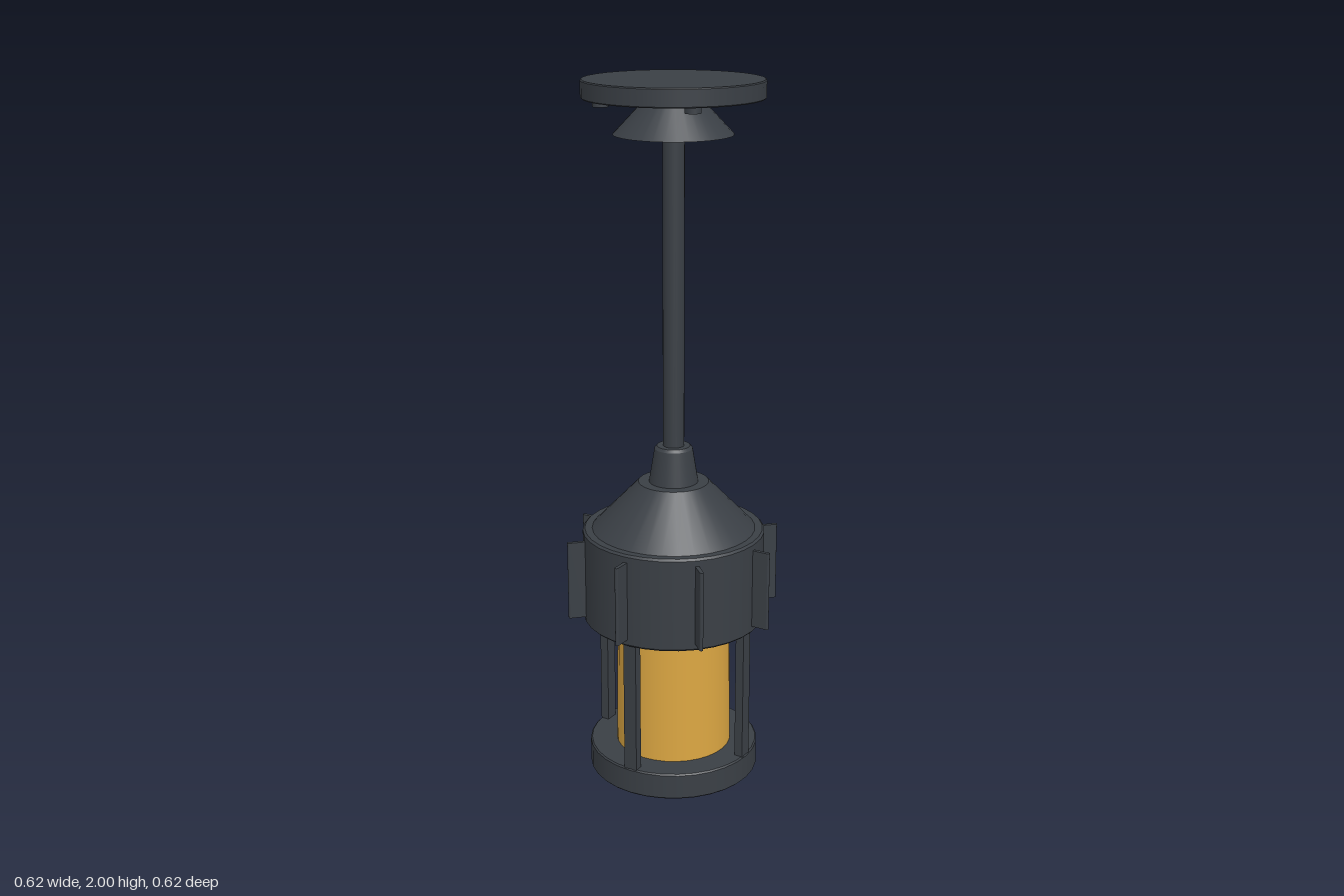
import * as THREE from 'three';

export function createModel() {
  const model = new THREE.Group();
  model.name = 'pendantLantern';

  const metal = new THREE.MeshStandardMaterial({ color: 0x3a3f45 });
  metal.name = 'charcoal metal';
  const amber = new THREE.MeshStandardMaterial({ color: 0xdba642 });
  amber.name = 'amber glass';

  const add = (name, geometry, material = metal, parent = model) => {
    const mesh = new THREE.Mesh(geometry, material);
    mesh.name = name;
    parent.add(mesh);
    return mesh;
  };

  // Round part between two heights, with bottom and top radii
  const round = (name, y0, y1, r0, r1, sides = 32, material = metal) => {
    const mesh = add(name, new THREE.CylinderGeometry(r1, r0, y1 - y0, sides), material);
    mesh.position.y = (y0 + y1) / 2;
    return mesh;
  };

  // Straight disc with small chamfers; each facet band keeps its own normals
  const disc = (name, y0, y1, r, c) => {
    const group = new THREE.Group();
    group.name = name;
    const profile = [[0, y0], [r - c, y0], [r, y0 + c], [r, y1 - c], [r - c, y1], [0, y1]];
    for (let i = 0; i < profile.length - 1; i++) {
      const band = profile.slice(i, i + 2).map(([x, y]) => new THREE.Vector2(x, y));
      add(name + 'Band', new THREE.LatheGeometry(band, 32), metal, group);
    }
    model.add(group);
  };

  // Ceiling mount and stem
  disc('ceilingPlate', 1.95, 2, 0.247, 0.003);
  round('canopy', 1.855, 1.95, 0.163, 0.073);
  round('stem', 0.96, 1.9, 0.03, 0.03, 24);
  for (const x of [-0.14, 0.14]) {
    for (const z of [-0.14, 0.14]) {
      const screw = round('mountingScrew', 1.932, 1.952, 0.022, 0.022, 16);
      screw.position.x = x;
      screw.position.z = z;
    }
  }

  // Collar, sloping cap and drum
  round('collar', 0.88, 0.978, 0.07, 0.054);
  round('collarRim', 0.978, 0.986, 0.054, 0.047);
  round('cap', 0.74, 0.88, 0.235, 0.1);
  disc('drum', 0.468, 0.742, 0.26, 0.006);

  // Cooling fins: rounded plates standing around the drum
  const half = 0.0055, inner = 0.26, outer = 0.31;
  const section = new THREE.Shape();
  section.moveTo(inner, -half);
  section.lineTo(outer - half, -half);
  section.absarc(outer - half, 0, half, -Math.PI / 2, Math.PI / 2, false);
  section.lineTo(inner, half);
  section.closePath();
  const finGeometry = new THREE.ExtrudeGeometry(section, {
    depth: 0.23, bevelEnabled: false, curveSegments: 6,
  });
  finGeometry.rotateX(-Math.PI / 2);
  for (let i = 0; i < 8; i++) {
    const fin = add('coolingFin', finGeometry);
    fin.position.y = 0.49;
    fin.rotation.y = (i * Math.PI) / 4;
  }

  // Light cylinder, guard bars and base
  round('lampGlass', 0.07, 0.48, 0.168, 0.162, 32, amber);
  const barGeometry = new THREE.BoxGeometry(0.025, 0.41, 0.04);
  for (let i = 0; i < 4; i++) {
    const a = (i * Math.PI) / 2;
    const bar = add('guardBar', barGeometry);
    bar.position.set(0.23 * Math.cos(a), 0.275, -0.23 * Math.sin(a));
    bar.rotation.y = a;
  }
  disc('base', 0, 0.078, 0.246, 0.004);

  return model;
}
